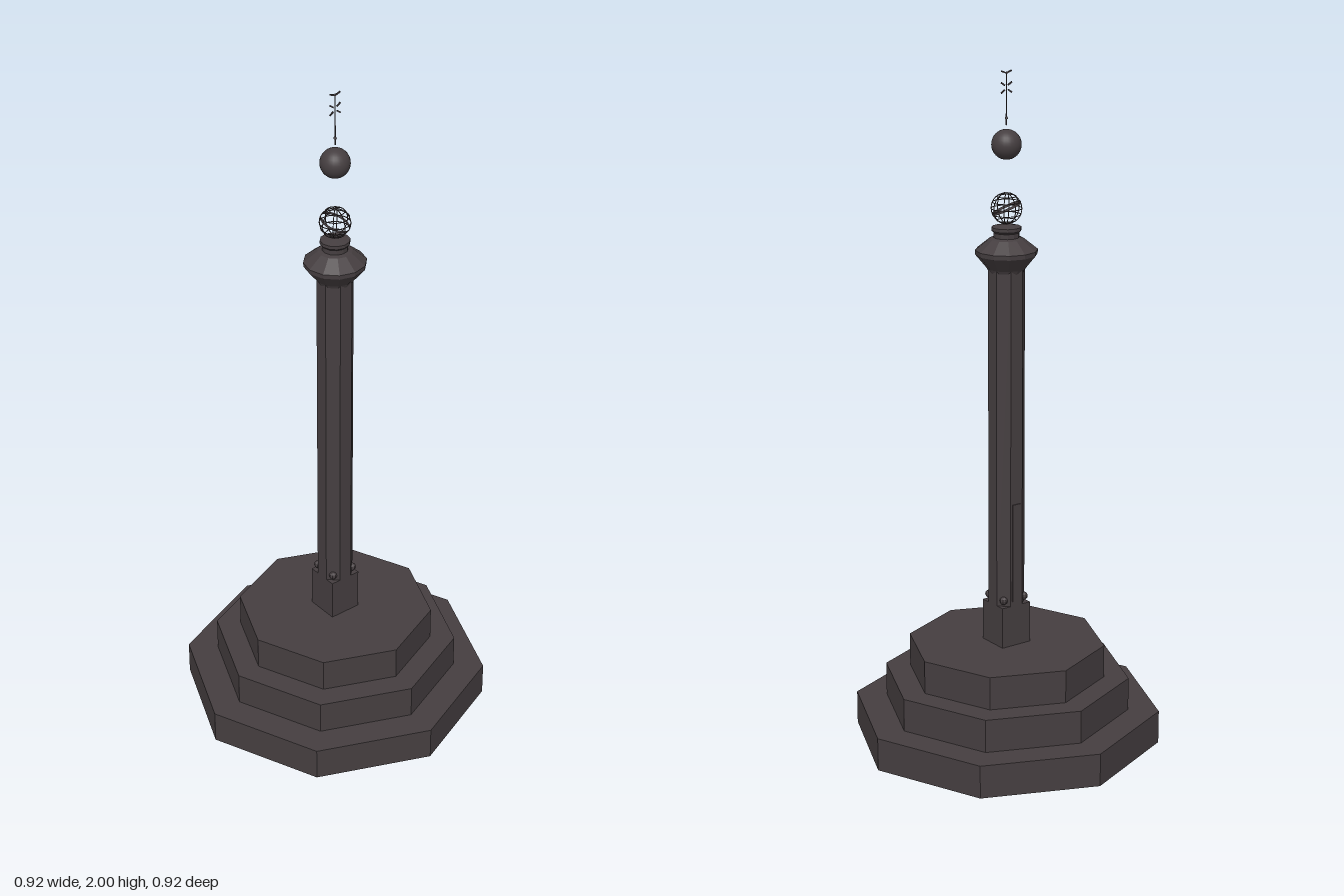
import * as THREE from 'three';

export function createModel() {
  const model = new THREE.Group();
  const stone = new THREE.MeshStandardMaterial({ color: 0x453e40, flatShading: true, side: THREE.DoubleSide });
  const smooth = new THREE.MeshStandardMaterial({ color: 0x453e40 });

  const add = (name, geometry, y = 0, material = stone, parent = model) => {
    const mesh = new THREE.Mesh(geometry, material);
    mesh.name = name;
    mesh.position.y = y;
    parent.add(mesh);
    return mesh;
  };

  // Three octagonal steps with corners on the axes
  [0.46, 0.368, 0.294].forEach((r, i) =>
    add('step' + (i + 1), new THREE.CylinderGeometry(r, r, 0.1, 8), 0.05 + i * 0.1));

  // Square foot and octagonal shaft, flats facing the axes
  add('shaftFoot', new THREE.BoxGeometry(0.1, 0.13, 0.1), 0.36);
  const rShaft = 0.05 / Math.cos(Math.PI / 8);
  const shaft = add('shaft', new THREE.CylinderGeometry(rShaft, rShaft, 1.02, 8), 0.925);
  shaft.rotation.y = Math.PI / 8;

  // Carved chamfer stops above the corners of the foot
  for (let i = 0; i < 4; i++) {
    const a = Math.PI / 4 + i * Math.PI / 2;
    const stop = add('chamferStop', new THREE.SphereGeometry(0.012, 8, 6), 0.443);
    stop.position.x = Math.cos(a) * 0.052;
    stop.position.z = Math.sin(a) * 0.052;
  }

  // Thin strip on the back of the shaft
  add('backStrip', new THREE.BoxGeometry(0.03, 0.3, 0.004), 0.59).position.z = -0.051;

  // Flared capital and the round neck above it
  const profile = [[0, 1.425], [0.05, 1.425], [0.056, 1.437], [0.089, 1.477], [0.09, 1.49],
    [0.05, 1.522], [0.037, 1.526], [0.037, 1.54], [0.043, 1.546], [0.043, 1.556], [0, 1.562]];
  add('capital', new THREE.LatheGeometry(profile.map(p => new THREE.Vector2(...p)), 12));

  // Armillary sphere: meridians, parallels and a tilted band
  const armillary = new THREE.Group();
  armillary.name = 'armillarySphere';
  armillary.position.y = 1.609;
  model.add(armillary);
  const R = 0.044;
  const ring = (name, r, y = 0) =>
    add(name, new THREE.TorusGeometry(r, 0.0014, 5, 32), y, smooth, armillary);
  for (let i = 0; i < 4; i++) ring('meridian', R).rotation.y = i * Math.PI / 4;
  for (const lat of [-0.9, -0.42, 0, 0.42, 0.9])
    ring('parallel', R * Math.cos(lat), R * Math.sin(lat)).rotation.x = Math.PI / 2;
  const band = add('tiltedBand', new THREE.CylinderGeometry(R, R, 0.007, 32, 1, true), 0, stone, armillary);
  band.rotation.set(0.3, 0, -0.3);

  // Ball
  add('ball', new THREE.SphereGeometry(0.043, 24, 16), 1.791, smooth);

  // Finial: slender rod with a flat crossed ornament
  const finial = new THREE.Group();
  finial.name = 'finial';
  model.add(finial);
  add('finialRod', new THREE.CylinderGeometry(0.0013, 0.0022, 0.15, 6), 1.92, smooth, finial);
  add('finialCollar', new THREE.CylinderGeometry(0.003, 0.005, 0.006, 8), 1.866, smooth, finial);
  const arm = (name, x, y, length, angle) => {
    const mesh = add(name, new THREE.BoxGeometry(length, 0.004, 0.003), y, stone, finial);
    mesh.position.x = x;
    mesh.rotation.z = angle;
  };
  for (const s of [-1, 1]) {
    arm('crossArm', s * 0.012, 1.961, 0.015, s * 0.6);
    arm('crossArm', s * 0.012, 1.94, 0.015, -s * 0.6);
    arm('tipArm', s * 0.009, 1.994, 0.018, s * 0.35);
  }
  return model;
}
